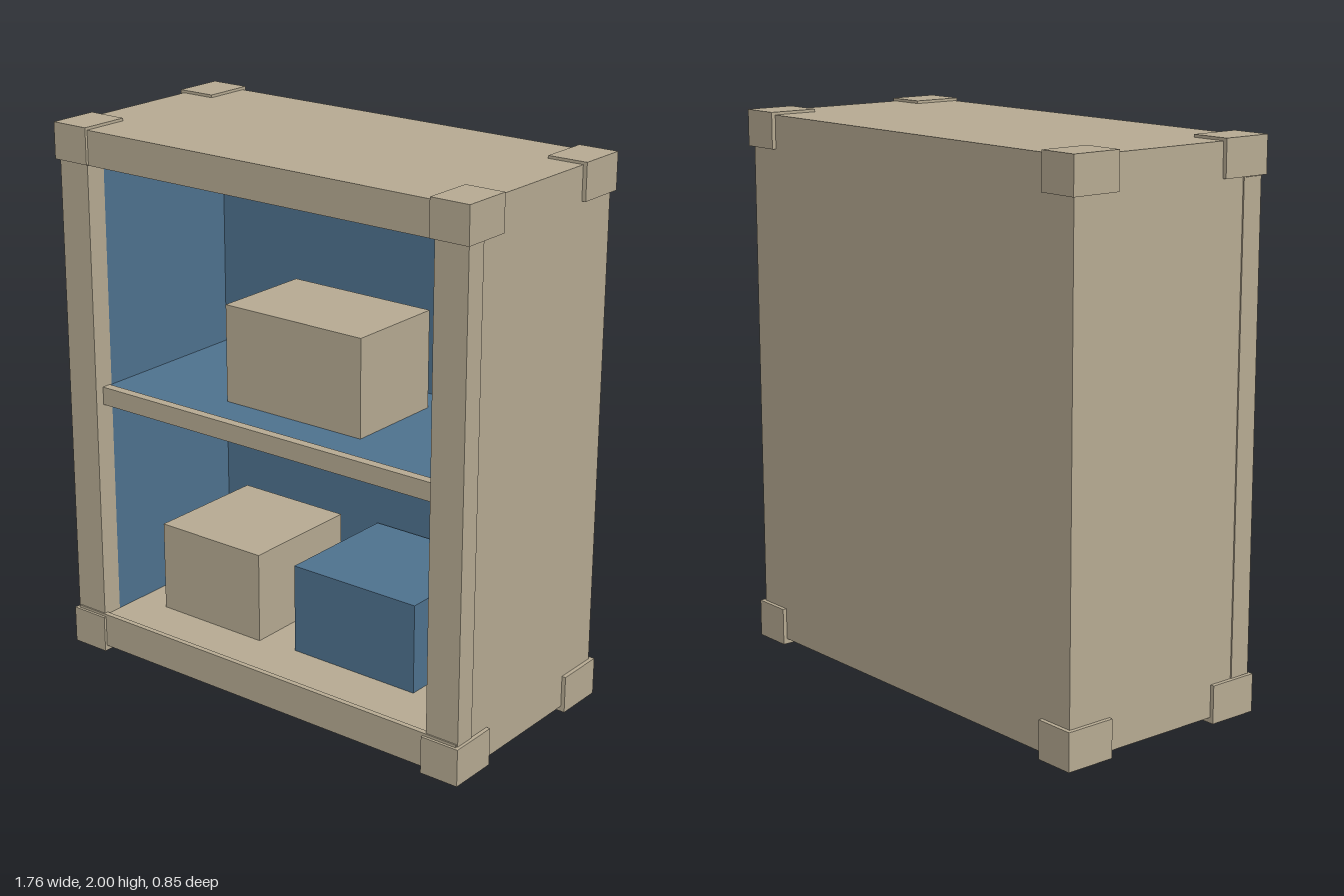
import * as THREE from 'three';

export function createModel() {
  const group = new THREE.Group();
  const tan = new THREE.MeshStandardMaterial({ name: 'tan wood', color: 0xb8ac94, flatShading: true });
  const blue = new THREE.MeshStandardMaterial({ name: 'blue lining', color: 0x4f7390, flatShading: true });

  // Box given by its lower and upper limits on each axis
  const box = (name, mat, [x0, x1], [y0, y1], [z0, z1]) => {
    const mesh = new THREE.Mesh(new THREE.BoxGeometry(x1 - x0, y1 - y0, z1 - z0), mat);
    mesh.position.set((x0 + x1) / 2, (y0 + y1) / 2, (z0 + z1) / 2);
    mesh.name = name;
    group.add(mesh);
    return mesh;
  };
  // Mirrored range for the right-hand side
  const span = (s, a, b) => (s > 0 ? [a, b] : [-b, -a]);

  // Carcass: panels around an open front
  box('topPanel', tan, [-0.865, 0.865], [1.87, 1.99], [-0.415, 0.39]);
  box('bottomPanel', tan, [-0.865, 0.865], [0.02, 0.14], [-0.415, 0.39]);
  box('backPanel', tan, [-0.745, 0.745], [0.14, 1.87], [-0.415, -0.315]);
  for (const s of [1, -1]) {
    const side = s > 0 ? 'left' : 'right';
    box(side + 'SidePanel', tan, span(s, 0.745, 0.865), [0.14, 1.87], [-0.415, 0.325]);
    box(side + 'FrontStile', tan, span(s, 0.74, 0.87), [0.14, 1.865], [0.325, 0.405]);
    box(side + 'Lining', blue, span(s, 0.74, 0.745), [0.14, 1.865], [-0.31, 0.325]);
  }
  box('topRail', tan, [-0.865, 0.865], [1.865, 1.99], [0.39, 0.41]);
  box('bottomRail', tan, [-0.865, 0.865], [0.02, 0.148], [0.39, 0.41]);

  // Blue interior lining
  box('backLining', blue, [-0.745, 0.745], [0.14, 1.87], [-0.315, -0.31]);
  box('ceilingLining', blue, [-0.74, 0.74], [1.865, 1.87], [-0.31, 0.325]);

  // Shelf with a tan front lip
  box('shelf', blue, [-0.74, 0.74], [0.975, 1.035], [-0.31, 0.335]);
  box('shelfLip', tan, [-0.74, 0.74], [0.97, 1.037], [0.335, 0.37]);

  // Eight corner caps wrapped around the carcass
  for (const sx of [1, -1]) {
    for (const sz of [1, -1]) {
      const z = sz > 0 ? [0.23, 0.42] : [-0.43, -0.24];
      box('topCornerCap', tan, span(sx, 0.73, 0.88), [1.868, 2], z);
      box('bottomCornerCap', tan, span(sx, 0.73, 0.88), [0, 0.138], z);
    }
  }

  // Stored boxes
  box('upperBox', tan, [-0.295, 0.3], [1.035, 1.395], [-0.19, 0.2]);
  box('lowerTanBox', tan, [-0.61, -0.15], [0.14, 0.48], [-0.27, 0.21]);
  box('lowerBlueBox', blue, [0, 0.53], [0.14, 0.475], [-0.3, 0.19]);

  return group;
}
